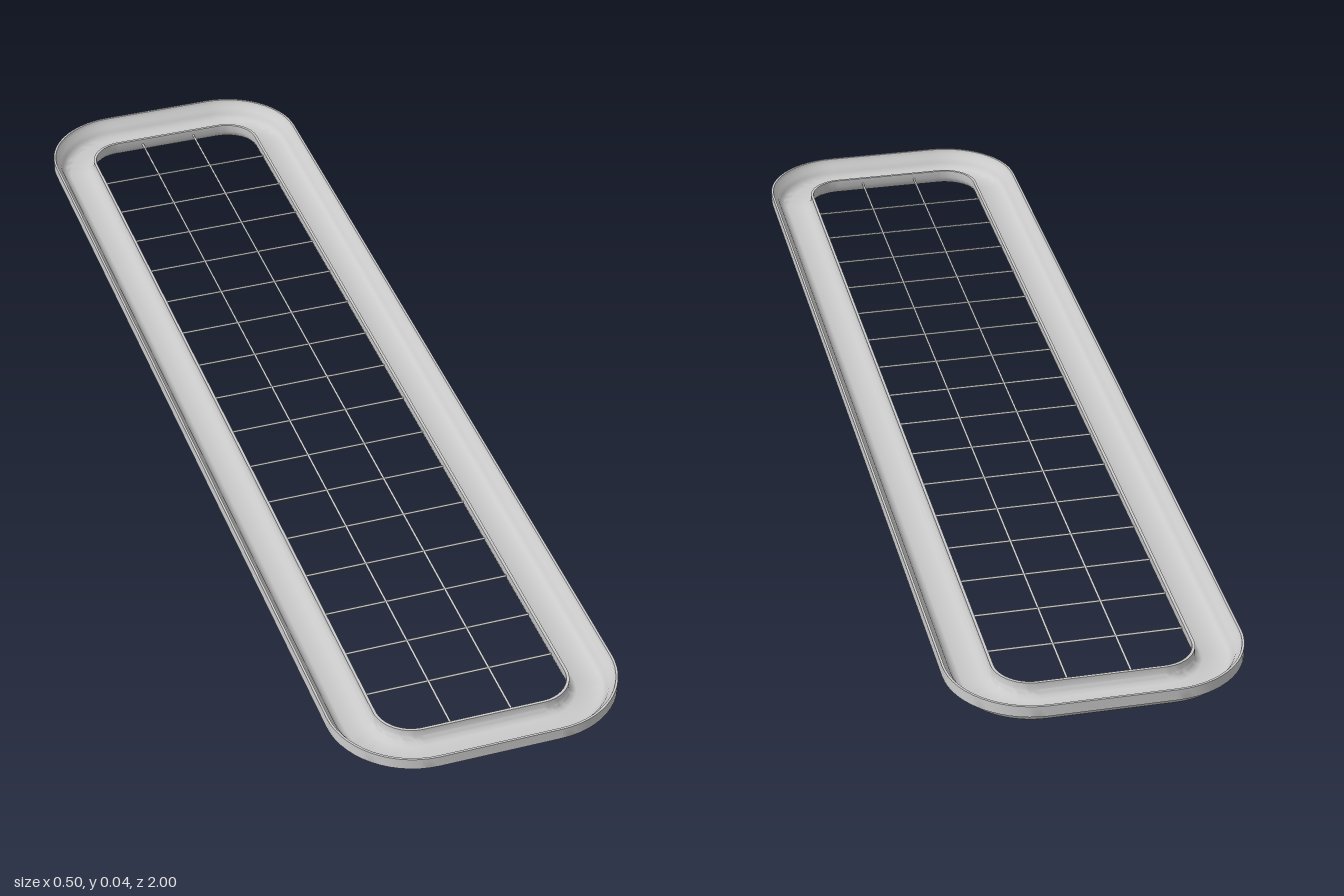
import * as THREE from 'three';
import { toCreasedNormals } from 'three/addons/utils/BufferGeometryUtils.js';

const HALF_W = 0.25, HALF_L = 1, CORNER = 0.145, STEPS = 14;

// Channel cross-section: [inset from the outer edge, height]
const PROFILE = [
  [0, 0.042], [0, 0.022], [0.009, 0.022], [0.012, 0.014], [0.017, 0.006], [0.022, 0.002], [0.03, 0],
  [0.068, 0], [0.076, 0.003], [0.082, 0.009], [0.085, 0.018], [0.085, 0.032],
  [0.080, 0.032], [0.080, 0.019], [0.077, 0.012], [0.068, 0.007],
  [0.032, 0.007], [0.024, 0.010], [0.018, 0.018], [0.014, 0.028], [0.006, 0.034], [0.004, 0.042],
];

// Rounded-rectangle ring, inset by d, at height y
function ring(d, y) {
  const pts = [];
  [[1, 1], [-1, 1], [-1, -1], [1, -1]].forEach(([sx, sz], c) => {
    for (let i = 0; i <= STEPS; i++) {
      const a = (c + i / STEPS) * Math.PI / 2;
      pts.push(sx * (HALF_W - CORNER) + (CORNER - d) * Math.cos(a), y,
        sz * (HALF_L - CORNER) + (CORNER - d) * Math.sin(a));
    }
  });
  return pts;
}

// Sweep the closed cross-section round the frame
function frameGeometry() {
  const n = 4 * (STEPS + 1), m = PROFILE.length;
  const positions = PROFILE.flatMap(([d, y]) => ring(d, y));
  const index = [];
  for (let j = 0; j < m; j++) {
    const k = (j + 1) % m;
    for (let i = 0; i < n; i++) {
      const e = (i + 1) % n;
      const a = j * n + i, b = j * n + e, c = k * n + i, f = k * n + e;
      index.push(a, b, c, b, f, c);
    }
  }
  const geo = new THREE.BufferGeometry();
  geo.setAttribute('position', new THREE.Float32BufferAttribute(positions, 3));
  geo.setIndex(index);
  return toCreasedNormals(geo, 0.75);
}

export function createModel() {
  const model = new THREE.Group();
  const material = new THREE.MeshStandardMaterial({ color: 0xcccccc });

  const frame = new THREE.Mesh(frameGeometry(), material);
  frame.name = 'channelFrame';
  model.add(frame);

  // Wire grid across the opening
  const grid = new THREE.Group();
  grid.name = 'wireGrid';
  const pitch = 0.1065, wireR = 0.002, wireY = 0.02;
  const crossGeo = new THREE.CylinderGeometry(wireR, wireR, 0.336, 8).rotateZ(Math.PI / 2);
  const longGeo = new THREE.CylinderGeometry(wireR, wireR, 1.836, 8).rotateX(Math.PI / 2);
  for (let i = 0; i < 16; i++) {
    const wire = new THREE.Mesh(crossGeo, material);
    wire.name = 'crossWire';
    wire.position.set(0, wireY, (i - 7.5) * pitch);
    grid.add(wire);
  }
  for (const s of [-1, 1]) {
    const wire = new THREE.Mesh(longGeo, material);
    wire.name = 'longWire';
    wire.position.set(s * pitch / 2, wireY, 0);
    grid.add(wire);
  }
  model.add(grid);
  return model;
}
